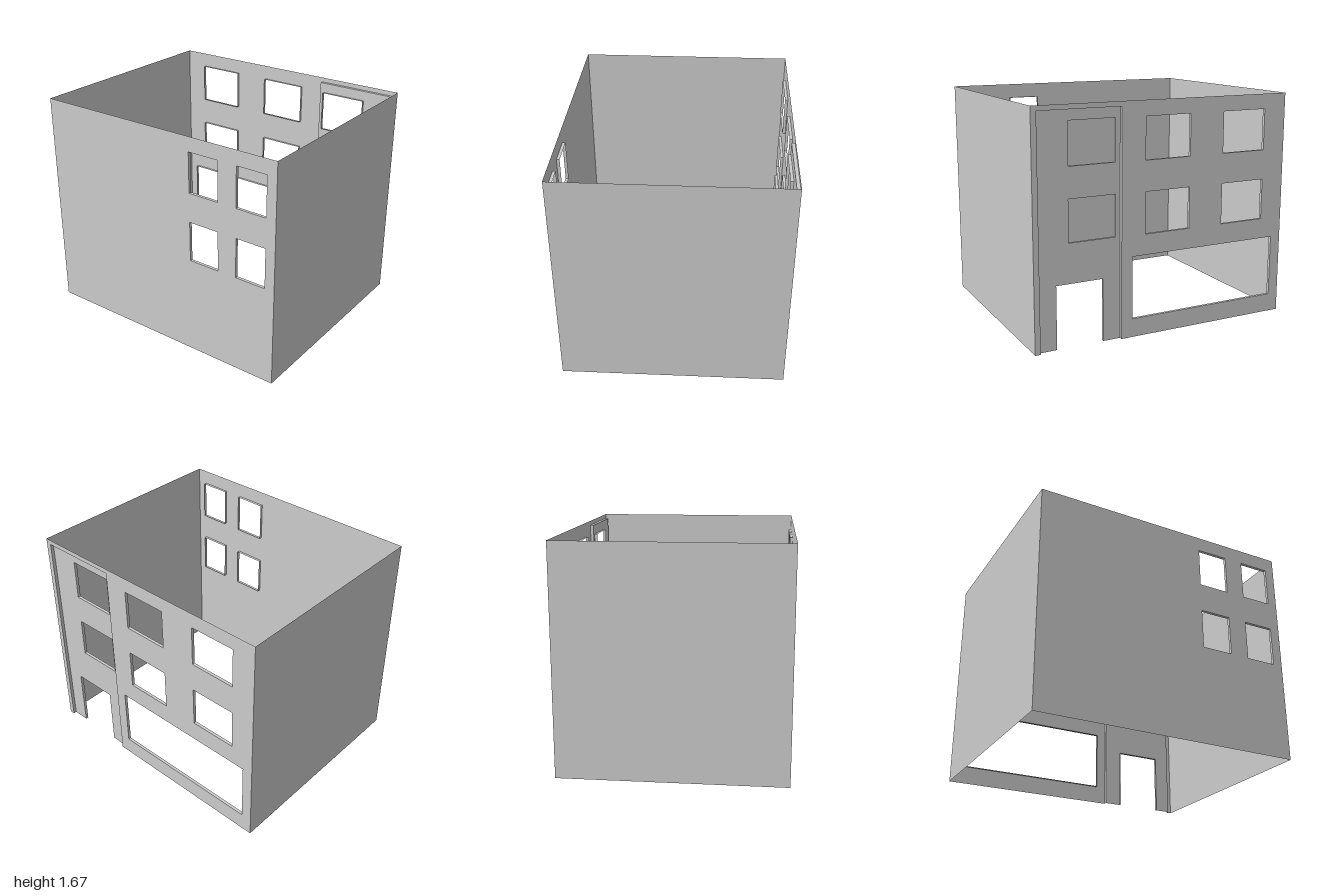
import * as THREE from 'three';

const W = 1, D = 0.82, H = 1.67, REVEAL = 0.022;
const material = new THREE.MeshStandardMaterial({ color: 0xcccccc, side: THREE.DoubleSide });

// Corners of a rectangle; starts and ends at the bottom so it can be left open there
const rect = (x0, x1, y0, y1) => [[x0, y0], [x0, y1], [x1, y1], [x1, y0]].map(p => new THREE.Vector2(...p));

function add(parent, name, geometry) {
  const mesh = new THREE.Mesh(geometry, material);
  mesh.name = name;
  parent.add(mesh);
  return mesh;
}

// Thin flat panel at depth z with window holes
function panel(parent, name, outline, holes, z) {
  const shape = new THREE.Shape(outline);
  for (const h of holes) shape.holes.push(new THREE.Path(h));
  add(parent, name, new THREE.ShapeGeometry(shape)).position.z = z;
}

// Strip of flat faces running round an opening from depth z0 to z1
function reveal(parent, name, points, z0, z1, closed = true) {
  const pos = [];
  const n = points.length;
  for (let i = 0; i < (closed ? n : n - 1); i++) {
    const a = points[i], b = points[(i + 1) % n];
    pos.push(a.x, a.y, z0, b.x, b.y, z0, b.x, b.y, z1);
    pos.push(a.x, a.y, z0, b.x, b.y, z1, a.x, a.y, z1);
  }
  const g = new THREE.BufferGeometry();
  g.setAttribute('position', new THREE.Float32BufferAttribute(pos, 3));
  g.computeVertexNormals();
  add(parent, name, g);
}

export function createModel() {
  const model = new THREE.Group();
  model.name = 'buildingShell';
  const floors = [[0.74, 1.04], [1.26, 1.56]];
  const windows = spans => spans.flatMap(([a, b]) => floors.map(([c, d]) => rect(a, b, c, d)));

  // Front wall with four windows
  const front = new THREE.Group();
  front.name = 'frontWall';
  const frontWindows = windows([[0.30, 0.54], [0.69, 0.925]]);
  panel(front, 'frontPanel', rect(-W, W, 0, H), frontWindows, D);
  frontWindows.forEach(w => reveal(front, 'windowReveal', w, D, D - REVEAL));

  // Back wall, notched for the entrance bay, with windows and a wide shop opening
  const back = new THREE.Group();
  back.name = 'backWall';
  const bay = rect(0.35, 0.96, 0, 1.635);
  const backHoles = [...windows([[-0.82, -0.465], [-0.19, 0.165]]), rect(-0.92, 0.265, 0.135, 0.59)];
  const notched = [[-W, 0], [-W, H], [W, H], [W, 0]].map(p => new THREE.Vector2(...p));
  panel(back, 'backPanel', [...notched, ...[...bay].reverse()], backHoles, -D);
  backHoles.forEach(w => reveal(back, 'windowReveal', w, -D, -D + REVEAL));

  // Recessed entrance bay with two windows above a doorway open to the ground
  const bayZ = -D + 0.025;
  const door = rect(0.48, 0.83, 0, 0.455);
  const bayWindows = windows([[0.385, 0.735]]);
  reveal(back, 'bayReveal', bay, -D, bayZ, false);
  panel(back, 'bayPanel', [...bay, ...[...door].reverse()], bayWindows, bayZ);
  bayWindows.forEach(w => reveal(back, 'windowReveal', w, bayZ, bayZ + REVEAL));
  reveal(back, 'doorReveal', door, bayZ, bayZ + REVEAL, false);

  // Plain side walls
  for (const s of [-1, 1]) {
    const side = add(model, s > 0 ? 'leftWall' : 'rightWall', new THREE.PlaneGeometry(2 * D, H));
    side.rotation.y = s * Math.PI / 2;
    side.position.set(s * W, H / 2, 0);
  }
  model.add(front, back);
  return model;
}
